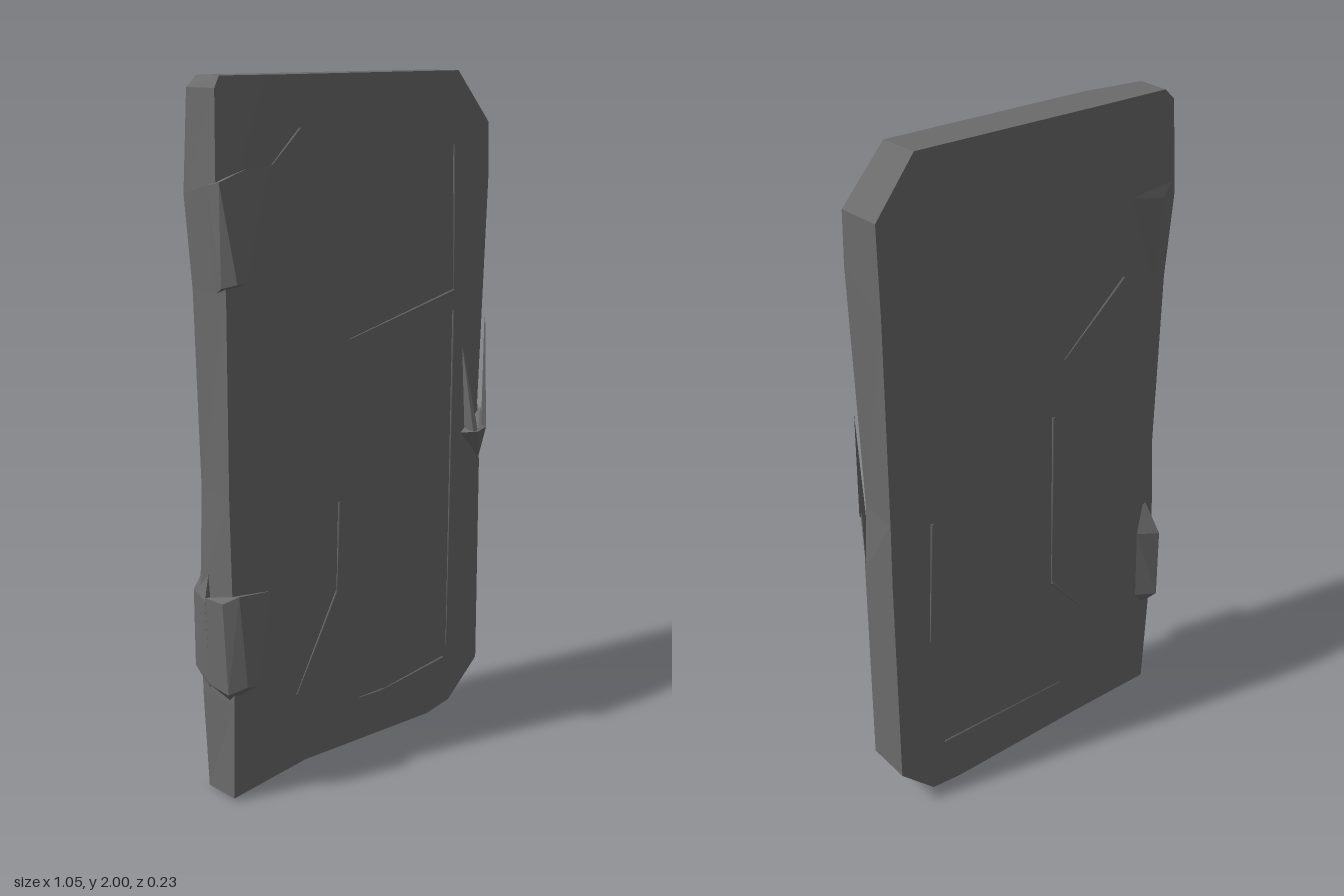
import * as THREE from 'three';
import { ConvexGeometry } from 'three/addons/geometries/ConvexGeometry.js';

// Outline, counter-clockwise: front x, y, z then back x, y, z
const OUTLINE = [
  [-0.49, 0.01, 0.06, -0.48, 0.0, -0.065],
  [-0.22, 0.035, 0.06, -0.2, 0.0, -0.06],
  [0.3, 0.01, 0.06, 0.3, 0.0, -0.06],
  [0.41, 0.02, 0.05, 0.4, 0.01, -0.06],
  [0.52, 0.14, 0.065, 0.52, 0.13, -0.07],
  [0.52, 0.8, 0.06, 0.52, 0.8, -0.07],
  [0.505, 1.0, 0.06, 0.52, 1.0, -0.075],
  [0.52, 1.7, 0.07, 0.52, 1.6, -0.08],
  [0.52, 1.85, 0.065, 0.52, 1.85, -0.075],
  [0.39, 2.0, 0.06, 0.39, 2.0, -0.065],
  [-0.28, 2.0, 0.06, -0.2, 2.0, -0.07],
  [-0.47, 2.0, 0.035, -0.46, 2.0, -0.07],
  [-0.49, 1.97, 0.04, -0.49, 1.97, -0.075],
  [-0.505, 1.74, 0.055, -0.5, 1.7, -0.085],
  [-0.49, 1.45, 0.07, -0.49, 1.45, -0.07],
  [-0.49, 0.9, 0.065, -0.485, 0.9, -0.06],
  [-0.49, 0.62, 0.07, -0.49, 0.62, -0.07],
  [-0.49, 0.3, 0.07, -0.49, 0.3, -0.07],
];
const N = OUTLINE.length;
const PANEL_Z = 0.058;

function indexed(points, index) {
  const g = new THREE.BufferGeometry();
  g.setAttribute('position', new THREE.Float32BufferAttribute(points.flat(), 3));
  g.setIndex(index);
  return g;
}

// Smooth face with a shallow inset panel; side is 1 for front, -1 for back
function faceGeometry(side) {
  const rim = OUTLINE.map((p) => (side > 0 ? p.slice(0, 3) : p.slice(3)));
  const inner = rim.map(([x, y]) => [0.015 + (x - 0.015) * 0.78, 1 + (y - 1) * 0.84, side * PANEL_Z]);
  const points = [...rim, ...inner, [0.015, 1, side * PANEL_Z]];
  const index = [];
  const tri = (a, b, c) => (side > 0 ? index.push(a, b, c) : index.push(a, c, b));
  for (let i = 0; i < N; i++) {
    const j = (i + 1) % N;
    tri(i, j, N + j);
    tri(i, N + j, N + i);
    tri(N + i, N + j, 2 * N);
  }
  const g = indexed(points, index);
  g.computeVertexNormals();
  return g;
}

// Faceted band joining the two faces
function edgeGeometry() {
  const points = [...OUTLINE.map((p) => p.slice(0, 3)), ...OUTLINE.map((p) => p.slice(3))];
  const index = [];
  for (let i = 0; i < N; i++) {
    const j = (i + 1) % N;
    index.push(i, N + i, N + j, i, N + j, j);
  }
  const g = indexed(points, index).toNonIndexed();
  g.computeVertexNormals();
  return g;
}

export function createModel() {
  const model = new THREE.Group();
  const grey = new THREE.MeshStandardMaterial({ color: 0x6b6b6b });
  grey.name = 'darkGrey';

  const add = (name, geometry, parent = model) => {
    const mesh = new THREE.Mesh(geometry, grey);
    mesh.name = name;
    parent.add(mesh);
    return mesh;
  };
  const hull = (name, pts) => add(name, new ConvexGeometry(pts.map((p) => new THREE.Vector3(...p))));

  // Door slab
  add('frontFace', faceGeometry(1));
  add('backFace', faceGeometry(-1));
  add('slabEdge', edgeGeometry());

  // Hinges on the right edge
  hull('upperHinge', [
    [-0.515, 1.73, 0.03], [-0.51, 1.74, 0.075], [-0.42, 1.77, 0.08], [-0.33, 1.77, 0.06],
    [-0.51, 1.47, 0.075], [-0.48, 1.48, 0.105], [-0.45, 1.48, 0.105], [-0.36, 1.49, 0.06],
    [-0.49, 1.45, 0.03], [-0.4, 1.74, 0.02],
  ]);
  hull('lowerHinge', [
    [-0.53, 0.61, 0.0], [-0.525, 0.61, 0.07], [-0.49, 0.63, 0.1], [-0.35, 0.6, 0.065],
    [-0.47, 0.36, 0.105], [-0.43, 0.35, 0.1], [-0.515, 0.34, 0.075], [-0.49, 0.31, 0.05],
    [-0.41, 0.32, 0.055], [-0.52, 0.35, 0.0],
  ]);
  hull('lowerHingeBack', [
    [-0.53, 0.6, 0.0], [-0.52, 0.35, 0.0], [-0.48, 0.59, -0.115], [-0.48, 0.36, -0.115],
    [-0.41, 0.6, -0.085], [-0.42, 0.36, -0.08], [-0.46, 0.7, -0.06], [-0.47, 0.3, -0.06],
  ]);
  hull('upperHingeBack', [
    [-0.49, 1.74, -0.085], [-0.34, 1.72, -0.08], [-0.46, 1.42, -0.065],
    [-0.45, 1.7, -0.09], [-0.45, 1.65, -0.05],
  ]);

  // Handle: a knob with two thin slivers rising from it
  hull('handleKnob', [
    [0.43, 0.91, 0.055], [0.455, 0.92, 0.11], [0.49, 0.93, 0.112], [0.52, 0.98, 0.06],
    [0.52, 0.81, 0.055], [0.48, 0.88, 0.05],
  ]);
  hull('handleOuterBlade', [
    [0.515, 1.28, 0.075], [0.52, 1.25, 0.068], [0.49, 0.93, 0.112], [0.515, 0.96, 0.08], [0.48, 0.93, 0.1],
  ]);
  hull('handleInnerBlade', [
    [0.432, 1.18, 0.06], [0.438, 1.18, 0.06], [0.445, 0.92, 0.1], [0.46, 0.92, 0.105], [0.45, 0.92, 0.055],
  ]);

  // Thin tapered scratches on both faces
  const scratch = (name, side, path) => {
    const group = new THREE.Group();
    group.name = name;
    for (let i = 0; i + 1 < path.length; i++) {
      const [x0, y0] = path[i];
      const [x1, y1] = path[i + 1];
      const length = Math.hypot(x1 - x0, y1 - y0);
      const bar = add(name + 'Strip', new THREE.CylinderGeometry(0.002, 0.005, length, 4), group);
      bar.scale.z = 0.8;
      bar.position.set((x0 + x1) / 2, (y0 + y1) / 2, side * PANEL_Z);
      bar.rotation.z = Math.atan2(y1 - y0, x1 - x0) - Math.PI / 2;
    }
    model.add(group);
  };
  scratch('frontUpperScratch', 1, [[0.38, 1.79], [0.39, 1.36], [-0.04, 1.27]]);
  scratch('frontSideScratch', 1, [[0.39, 1.3], [0.385, 0.22]]);
  scratch('frontBottomScratch', 1, [[0.37, 0.18], [0.1, 0.155], [0, 0.16]]);
  scratch('frontBentScratch', 1, [[-0.08, 0.8], [-0.09, 0.53], [-0.25, 0.25]]);
  scratch('frontCornerScratch', 1, [[-0.22, 1.86], [-0.32, 1.77]]);
  scratch('backUpperScratch', -1, [[-0.34, 1.48], [-0.115, 1.29]]);
  scratch('backBentScratch', -1, [[-0.075, 1.12], [-0.075, 0.55], [-0.255, 0.345]]);
  scratch('backBottomScratch', -1, [[0.35, 0.16], [-0.115, 0.15]]);
  scratch('backSideScratch', -1, [[0.37, 0.94], [0.39, 0.55]]);

  return model;
}
